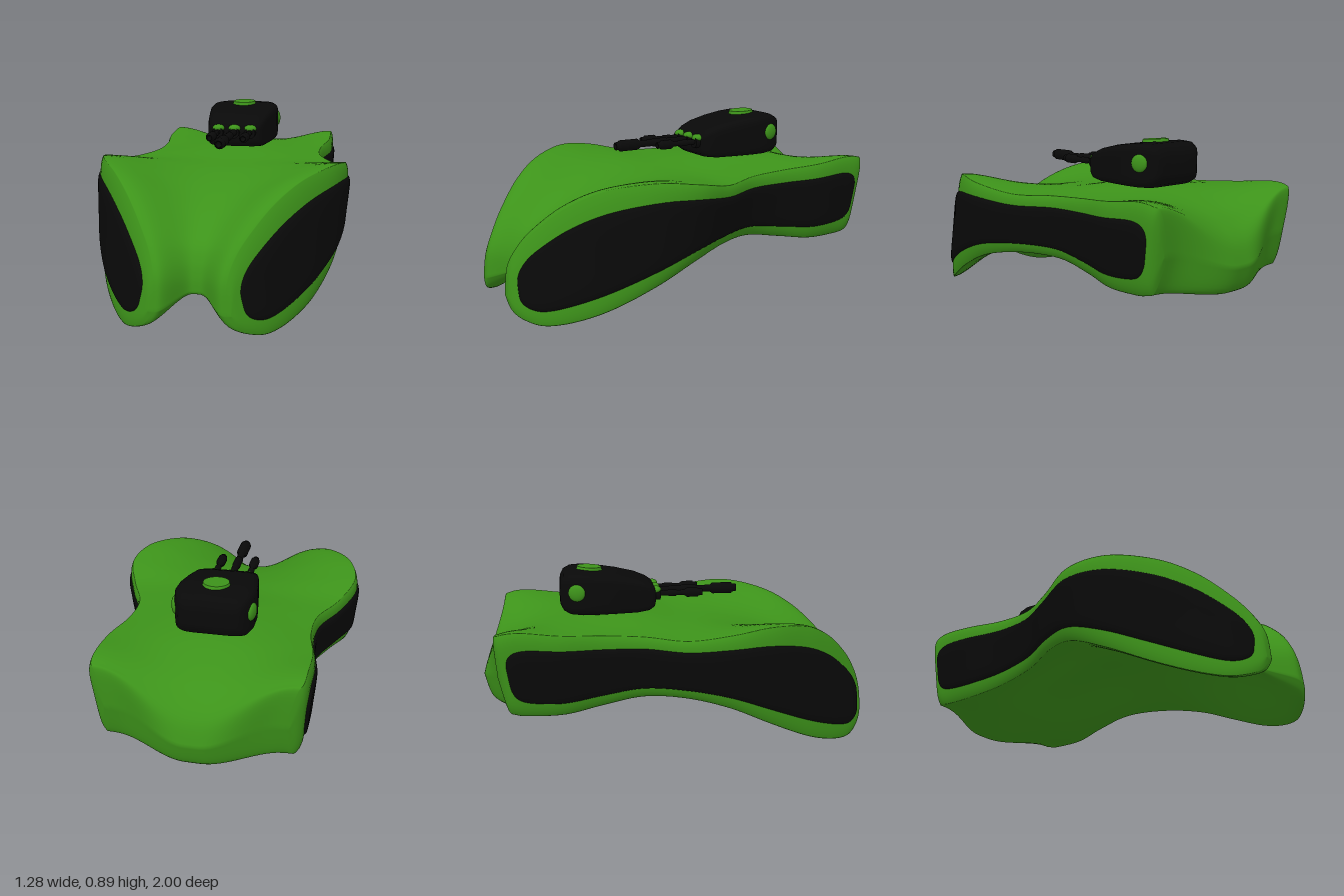
import * as THREE from 'three';
import { mergeVertices } from 'three/addons/utils/BufferGeometryUtils.js';

const green = new THREE.MeshStandardMaterial({ color: 0x3d931a });
const black = new THREE.MeshStandardMaterial({ color: 0x090909 });

// Hull stations from nose to tail:
// side z, top half-width, bottom half-width, side top y, side bottom y, bottom z shift, centre z, centre top y, centre bottom y
const stations = [
  [1.0, 0.19, 0.19, 0.115, 0.115, 0, 0.87, 0.17, 0.17],
  [0.985, 0.19, 0.235, 0.25, 0.05, 0, 0.865, 0.23, 0.157],
  [0.94, 0.215, 0.3, 0.35, 0.015, 0, 0.845, 0.3, 0.16],
  [0.87, 0.27, 0.37, 0.445, 0.002, 0, 0.8, 0.37, 0.18],
  [0.75, 0.365, 0.455, 0.56, 0.03, 0, 0.7, 0.44, 0.23],
  [0.6, 0.475, 0.535, 0.64, 0.09, 0, 0.58, 0.5, 0.29],
  [0.4, 0.6, 0.6, 0.675, 0.19, 0, 0.4, 0.56, 0.35],
  [0.2, 0.647, 0.605, 0.655, 0.28, 0, 0.2, 0.6, 0.4],
  [0, 0.577, 0.535, 0.615, 0.315, 0, 0, 0.62, 0.42],
  [-0.2, 0.49, 0.45, 0.62, 0.305, 0, -0.2, 0.65, 0.4],
  [-0.4, 0.48, 0.445, 0.63, 0.268, 0, -0.4, 0.66, 0.35],
  [-0.6, 0.512, 0.475, 0.645, 0.24, 0.02, -0.6, 0.64, 0.27],
  [-0.78, 0.512, 0.48, 0.665, 0.24, 0.04, -0.8, 0.58, 0.215],
  [-0.88, 0.505, 0.48, 0.655, 0.25, 0.06, -0.9, 0.515, 0.205],
  [-0.91, 0.48, 0.46, 0.62, 0.275, 0.05, -0.965, 0.44, 0.23],
  [-0.9, 0.43, 0.43, 0.43, 0.43, 0, -1.0, 0.34, 0.34],
];

// Smooth interpolation of all station values at a fractional index
function station(t) {
  const last = stations.length - 1;
  const i = Math.min(Math.floor(t), last - 1), f = t - i;
  const row = k => stations[Math.max(0, Math.min(last, k))];
  return stations[0].map((_, n) => {
    const a = row(i - 1)[n], b = row(i)[n], c = row(i + 1)[n], d = row(i + 2)[n];
    return b + 0.5 * f * (c - a + f * (2 * a - 5 * b + 4 * c - d + f * (3 * (b - c) + d - a)));
  });
}

// Point on the flank: v = 0 at the top edge, 1 at the bottom edge
function flank(t, v) {
  const [z, wT, wB, yT, yB, dz] = station(t);
  return new THREE.Vector3(
    THREE.MathUtils.lerp(wT, wB, v) - 0.022 * Math.pow(2 * v - 1, 6) - 0.008,
    THREE.MathUtils.lerp(yT, yB, v), z + dz * v);
}

// Point on the deck or belly, u = 0 at the centre line, 1 at the flank edge
function skin(t, u, belly) {
  const s = station(t), edge = flank(t, belly ? 1 : 0);
  const k = THREE.MathUtils.smoothstep(u, 0.05, 1);
  return new THREE.Vector3(edge.x * u,
    THREE.MathUtils.lerp(s[belly ? 8 : 7], edge.y, k),
    THREE.MathUtils.lerp(s[6], edge.z, THREE.MathUtils.smoothstep(u, 0.1, 0.9)));
}

// Surface through rows of points
function gridGeometry(rows, flip = false) {
  const n = rows[0].length, index = [];
  for (let i = 0; i < rows.length - 1; i++) {
    for (let j = 0; j < n - 1; j++) {
      const a = i * n + j, b = a + 1, c = a + n, d = c + 1;
      if (flip) index.push(a, c, b, b, c, d);
      else index.push(a, b, c, b, d, c);
    }
  }
  let geo = new THREE.BufferGeometry().setFromPoints(rows.flat());
  geo.setIndex(index);
  geo = mergeVertices(geo, 1e-5);
  geo.computeVertexNormals();
  return geo;
}

function hullGeometry() {
  const rows = [], steps = (stations.length - 1) * 6;
  for (let i = 0; i <= steps; i++) {
    const t = i / 6, half = [];
    for (let j = 0; j <= 18; j++) half.push(skin(t, j / 18, false));
    for (let j = 1; j < 20; j++) half.push(flank(t, 0.5 - 0.5 * Math.cos(Math.PI * j / 20)));
    for (let j = 18; j >= 0; j--) half.push(skin(t, j / 18, true));
    const mirrored = half.slice(0, -1).reverse().map(p => new THREE.Vector3(-p.x, p.y, p.z));
    rows.push([...half, ...mirrored]);
  }
  return gridGeometry(rows);
}

// Rounded, slightly raised panel that follows the flank
function padGeometry(side) {
  const rows = [], e = 0.01;
  for (let i = 0; i <= 90; i++) {
    const c = Math.sin((i / 90 - 0.5) * Math.PI), row = [];
    const t = 7.25 + 5.75 * c;
    const h = Math.pow(Math.max(0, 1 - Math.pow(c, 10)), 1 / 3);
    for (let j = 0; j <= 24; j++) {
      const q = Math.sin((j / 24 - 0.5) * Math.PI);
      const v = 0.51 + 0.335 * q * h;
      const p = flank(t, v);
      const out = flank(t, v + e).sub(flank(t, v - e))
        .cross(flank(t + e, v).sub(flank(t - e, v))).normalize();
      const dome = Math.sqrt(Math.max(0, (1 - Math.pow(q, 8)) * (1 - Math.pow(c, 16))));
      p.addScaledVector(out, -0.007 + 0.021 * dome);
      p.x *= side;
      row.push(p);
    }
    rows.push(row);
  }
  return gridGeometry(rows, side < 0);
}

// Turret housing from rounded-box cross-sections: z, half-width, bottom y, top y
function turretGeometry() {
  const sections = [[-0.105, 0, 0.735, 0.735], [-0.105, 0.115, 0.705, 0.765], [-0.112, 0.135, 0.682, 0.787],
    [-0.14, 0.15, 0.665, 0.806], [-0.2, 0.163, 0.656, 0.83], [-0.3, 0.178, 0.655, 0.852],
    [-0.4, 0.192, 0.655, 0.866], [-0.48, 0.192, 0.655, 0.873], [-0.54, 0.177, 0.66, 0.871],
    [-0.575, 0.157, 0.677, 0.855], [-0.591, 0.135, 0.705, 0.825], [-0.595, 0.11, 0.725, 0.8],
    [-0.595, 0, 0.76, 0.76]];
  const round = a => Math.sign(a) * Math.pow(Math.abs(a), 0.3);
  return gridGeometry(sections.map(([z, w, y0, y1]) => {
    const row = [];
    for (let j = 0; j < 64; j++) {
      const a = (j + 0.5) / 64 * Math.PI * 2;
      row.push(new THREE.Vector3(w * round(Math.sin(a)), (y0 + y1) / 2 + (y1 - y0) / 2 * round(Math.cos(a)), z));
    }
    return [...row, row[0].clone()];
  }));
}

// Barrel along +z with a thicker muzzle sleeve
function barrelGeometry(length, r, R, sleeve) {
  const a = length - sleeve;
  const pts = [[0, 0], [r, 0], [r, a * 0.5], [r * 1.2, a * 0.52], [r * 1.2, a * 0.75], [r, a * 0.77],
    [r, a], [R, a + 0.015], [R, length - 0.025], [R * 0.75, length - 0.02], [R * 0.7, length],
    [R * 0.45, length], [R * 0.45, length - 0.02], [0, length - 0.02]];
  return new THREE.LatheGeometry(pts.map(p => new THREE.Vector2(...p)), 18).rotateX(Math.PI / 2);
}

export function createModel() {
  const model = new THREE.Group();
  const add = (name, geo, mat, parent = model) => {
    const mesh = new THREE.Mesh(geo, mat);
    mesh.name = name;
    parent.add(mesh);
    return mesh;
  };

  add('hull', hullGeometry(), green);
  add('leftSidePad', padGeometry(1), black);
  add('rightSidePad', padGeometry(-1), black);

  const turret = new THREE.Group();
  turret.name = 'turret';
  model.add(turret);
  add('turretHousing', turretGeometry(), black, turret);

  // Hatch on the roof and a round cap on each cheek
  const hatch = add('roofHatch', new THREE.CylinderGeometry(0.062, 0.068, 0.02, 32), green, turret);
  hatch.position.set(0, 0.873, -0.44);
  hatch.rotation.x = 0.06;
  for (const s of [1, -1]) {
    const cap = add(s > 0 ? 'leftCap' : 'rightCap', new THREE.SphereGeometry(0.043, 24, 16), green, turret);
    cap.scale.x = 0.4;
    cap.position.set(s * 0.184, 0.78, -0.51);
    cap.rotation.y = s * 0.25;
  }

  // Three guns with domed collars
  for (const x of [-0.088, 0, 0.088]) {
    const mid = x === 0;
    const barrel = add('gunBarrel', mid ? barrelGeometry(0.46, 0.018, 0.029, 0.14)
      : barrelGeometry(0.265, 0.014, 0.024, 0.095), black, turret);
    barrel.position.set(x, 0.748, -0.125);
    const collar = add('gunCollar', new THREE.SphereGeometry(0.033, 20, 14), green, turret);
    collar.scale.set(1, 0.6, 0.9);
    collar.position.set(x, 0.768, -0.105);
    const socket = add('gunSocket', new THREE.CylinderGeometry(0.03, 0.03, 0.05, 20), black, turret);
    socket.rotation.x = Math.PI / 2;
    socket.position.set(x, 0.745, -0.105);
  }
  return model;
}
